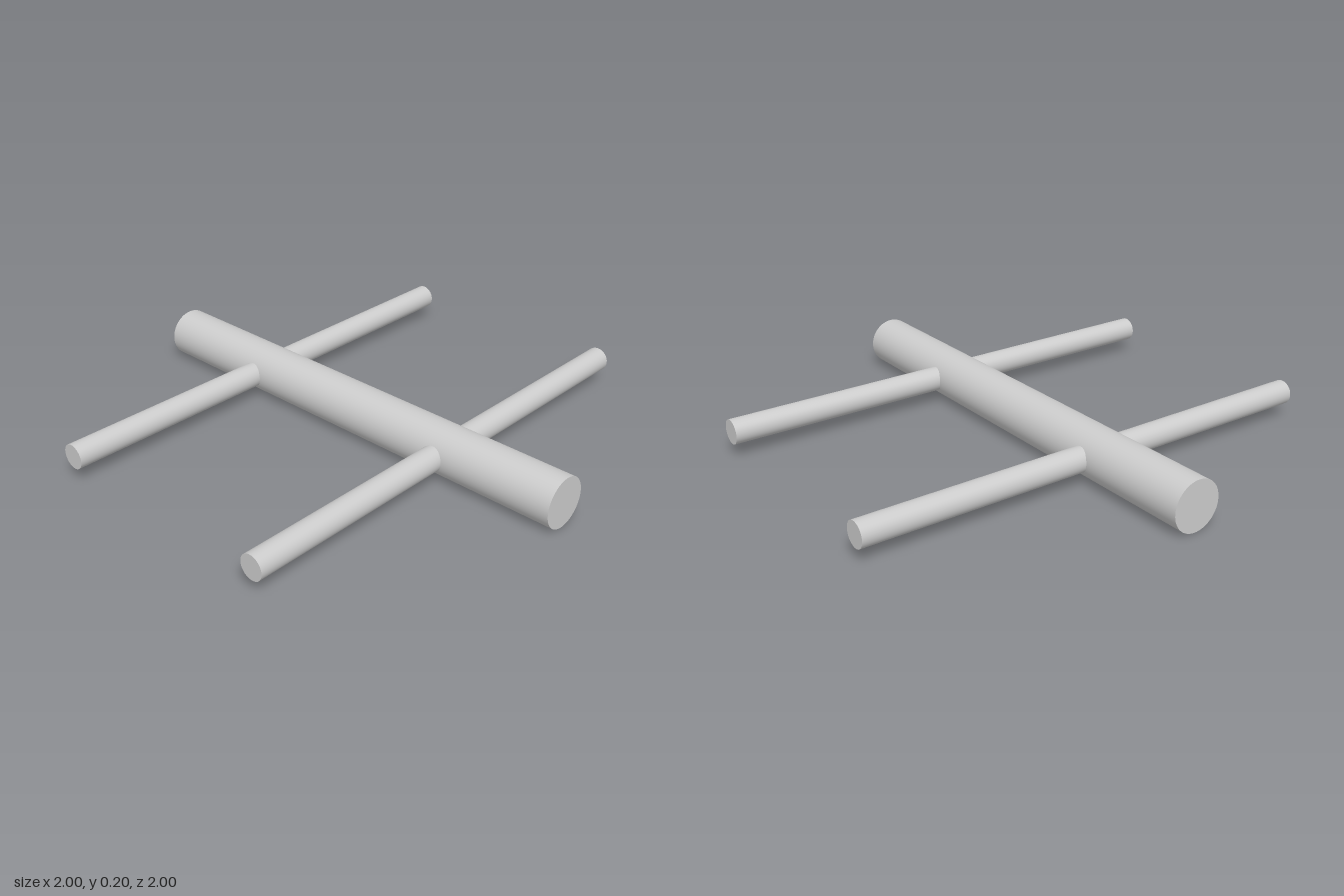
import * as THREE from 'three';

export function createModel() {
  const group = new THREE.Group();
  const material = new THREE.MeshStandardMaterial({ color: 0xcccccc });

  function addBar(name, radius, x, z) {
    const bar = new THREE.Mesh(new THREE.CylinderGeometry(radius, radius, 2, 64), material);
    bar.name = name;
    bar.position.set(x, 0.1, z);
    group.add(bar);
    return bar;
  }

  // Thick main bar lying along x
  addBar('mainBar', 0.1, 0, 0.015).rotation.z = Math.PI / 2;

  // Two thin rods passing through it along z
  addBar('rightCrossRod', 0.05, -0.49, 0).rotation.x = Math.PI / 2;
  addBar('leftCrossRod', 0.05, 0.48, 0).rotation.x = Math.PI / 2;

  return group;
}
